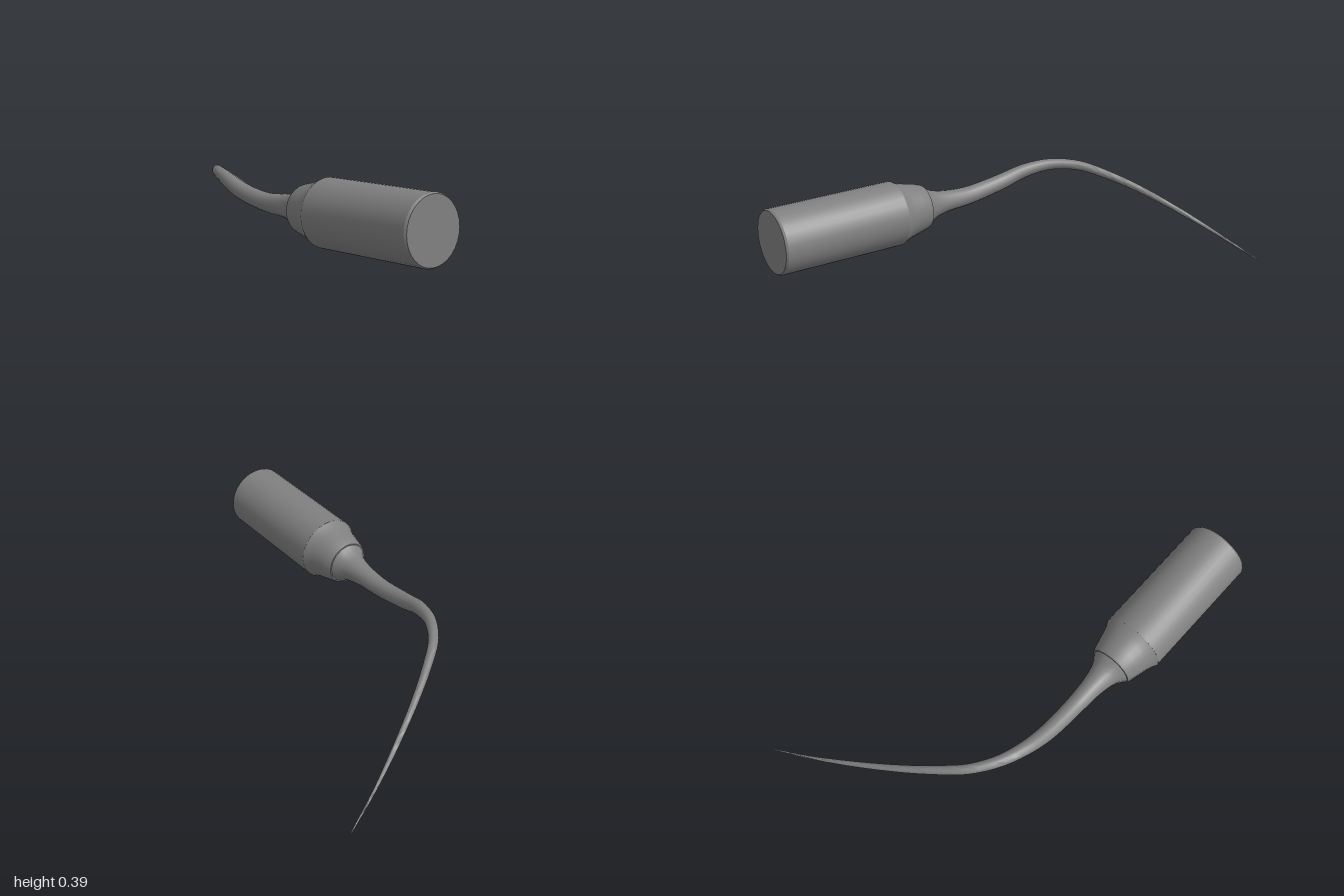
import * as THREE from 'three';
import { toCreasedNormals } from 'three/addons/utils/BufferGeometryUtils.js';

const AXIS_X = -0.387, AXIS_Y = 0.24;

// Lathe along +z from [radius, z] pairs, z ascending
function turned(profile, sides) {
  const geo = new THREE.LatheGeometry(profile.map(([r, z]) => new THREE.Vector2(r, z)), sides);
  geo.rotateX(Math.PI / 2);
  geo.translate(AXIS_X, AXIS_Y, 0);
  return toCreasedNormals(geo, 0.5);
}

// Linear lookup of tip radius by z, z descending
const RADII = [
  [0.25, 0.1], [0.225, 0.083], [0.2, 0.068], [0.15, 0.055], [0.1, 0.048], [0, 0.042], [-0.2, 0.037],
  [-0.44, 0.026], [-0.6, 0.021], [-0.84, 0.012], [-1, 0.003],
];
function tipRadius(z) {
  for (let i = 1; i < RADII.length; i++) {
    const [z0, r0] = RADII[i - 1], [z1, r1] = RADII[i];
    if (z >= z1) return THREE.MathUtils.lerp(r0, r1, Math.max(0, (z0 - z) / (z0 - z1)));
  }
  return 0.003;
}

// Tube whose rings are rescaled to the tapering radius
function taperedTip() {
  const path = new THREE.CatmullRomCurve3([
    [AXIS_X, AXIS_Y, 0.25], [AXIS_X, AXIS_Y, 0.12], [-0.387, 0.241, 0], [-0.384, 0.27, -0.18],
    [-0.366, 0.308, -0.31], [-0.325, 0.328, -0.43], [-0.25, 0.322, -0.54], [-0.15, 0.292, -0.625],
    [0, 0.236, -0.728], [0.21, 0.145, -0.848], [0.38, 0.068, -0.932], [0.533, 0.003, -0.998],
  ].map((p) => new THREE.Vector3(...p)));
  const rings = 80, sides = 16;
  const geo = new THREE.TubeGeometry(path, rings, 1, sides, false);
  const pos = geo.attributes.position, v = new THREE.Vector3();
  for (let i = 0; i <= rings; i++) {
    const c = path.getPointAt(i / rings), r = tipRadius(c.z);
    for (let j = 0; j <= sides; j++) {
      const k = i * (sides + 1) + j;
      v.fromBufferAttribute(pos, k).sub(c).multiplyScalar(r).add(c);
      pos.setXYZ(k, v.x, v.y, v.z);
    }
  }
  return toCreasedNormals(geo, 1);
}

export function createModel() {
  const group = new THREE.Group();
  const steel = new THREE.MeshStandardMaterial({ color: 0x808080 });
  steel.name = 'steel grey';
  const add = (name, geo) => {
    const mesh = new THREE.Mesh(geo, steel);
    mesh.name = name;
    group.add(mesh);
  };

  // Cylindrical handle with a slightly eased end
  add('handle', turned([[0, 0.395], [0.149, 0.395], [0.149, 0.99], [0.143, 1], [0, 1]], 32));
  // Shoulder narrowing towards the tip
  add('collar', turned([[0, 0.243], [0.1, 0.243], [0.106, 0.255], [0.117, 0.3], [0.128, 0.345], [0.136, 0.37], [0.149, 0.396]], 32));
  // Flared neck running into the long curved point
  add('curvedTip', taperedTip());
  // Closing cap at the very end of the point
  const end = new THREE.SphereGeometry(0.003, 8, 6);
  end.translate(0.533, 0.003, -0.998);
  add('tipEnd', end);
  return group;
}
